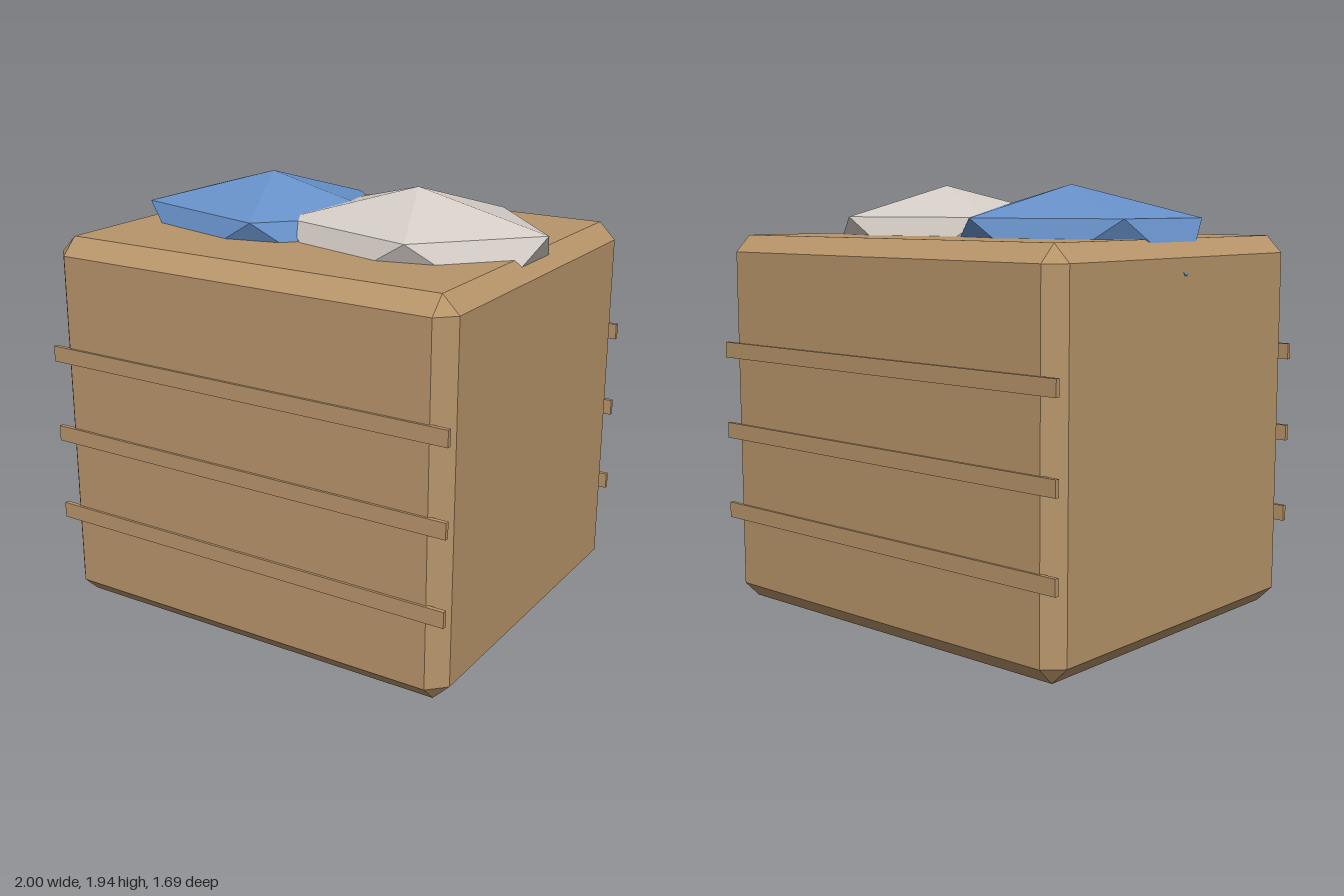
import * as THREE from 'three';
import { ConvexGeometry } from 'three/addons/geometries/ConvexGeometry.js';

const paint = (name, color) => {
  const m = new THREE.MeshStandardMaterial({ color });
  m.name = name;
  return m;
};

// Box with flat 45 degree bevels on every edge and small triangular corners
function bevelledBox(w, h, d, bevel) {
  const half = [w / 2, h / 2, d / 2];
  const points = [];
  for (const sx of [-1, 1]) for (const sy of [-1, 1]) for (const sz of [-1, 1]) {
    for (let axis = 0; axis < 3; axis++) {
      const p = half.map((s, i) => (i === axis ? s : s - bevel));
      points.push(new THREE.Vector3(p[0] * sx, p[1] * sy, p[2] * sz));
    }
  }
  return new ConvexGeometry(points);
}

export function createModel() {
  const group = new THREE.Group();
  const wood = paint('wood', 0xb8956a);
  const blue = paint('blueCloth', 0x6791c9);
  const white = paint('whiteCloth', 0xd5cdc6);

  const add = (name, geometry, material, x, y, z) => {
    const mesh = new THREE.Mesh(geometry, material);
    mesh.name = name;
    mesh.position.set(x, y, z);
    group.add(mesh);
  };

  // Basket body
  add('basketBody', bevelledBox(1.98, 1.714, 1.67, 0.076), wood, 0, 0.857, 0);

  // Three thin bands on the front and the back
  const band = new THREE.BoxGeometry(2, 0.072, 0.02);
  for (const y of [0.42, 0.802, 1.182]) {
    add('frontBand', band, wood, 0, y, 0.836);
    add('backBand', band, wood, 0, y, -0.836);
  }

  // Two flattened faceted bundles, one corner pointing straight up
  const bundle = new THREE.IcosahedronGeometry(1, 0);
  bundle.rotateZ(-Math.atan(2 / (1 + Math.sqrt(5))));
  bundle.scale(0.69, 0.262, 0.53);
  bundle.computeVertexNormals();
  add('blueBundle', bundle, blue, -0.38, 1.68, 0);
  add('whiteBundle', bundle, white, 0.38, 1.68, 0);

  return group;
}
